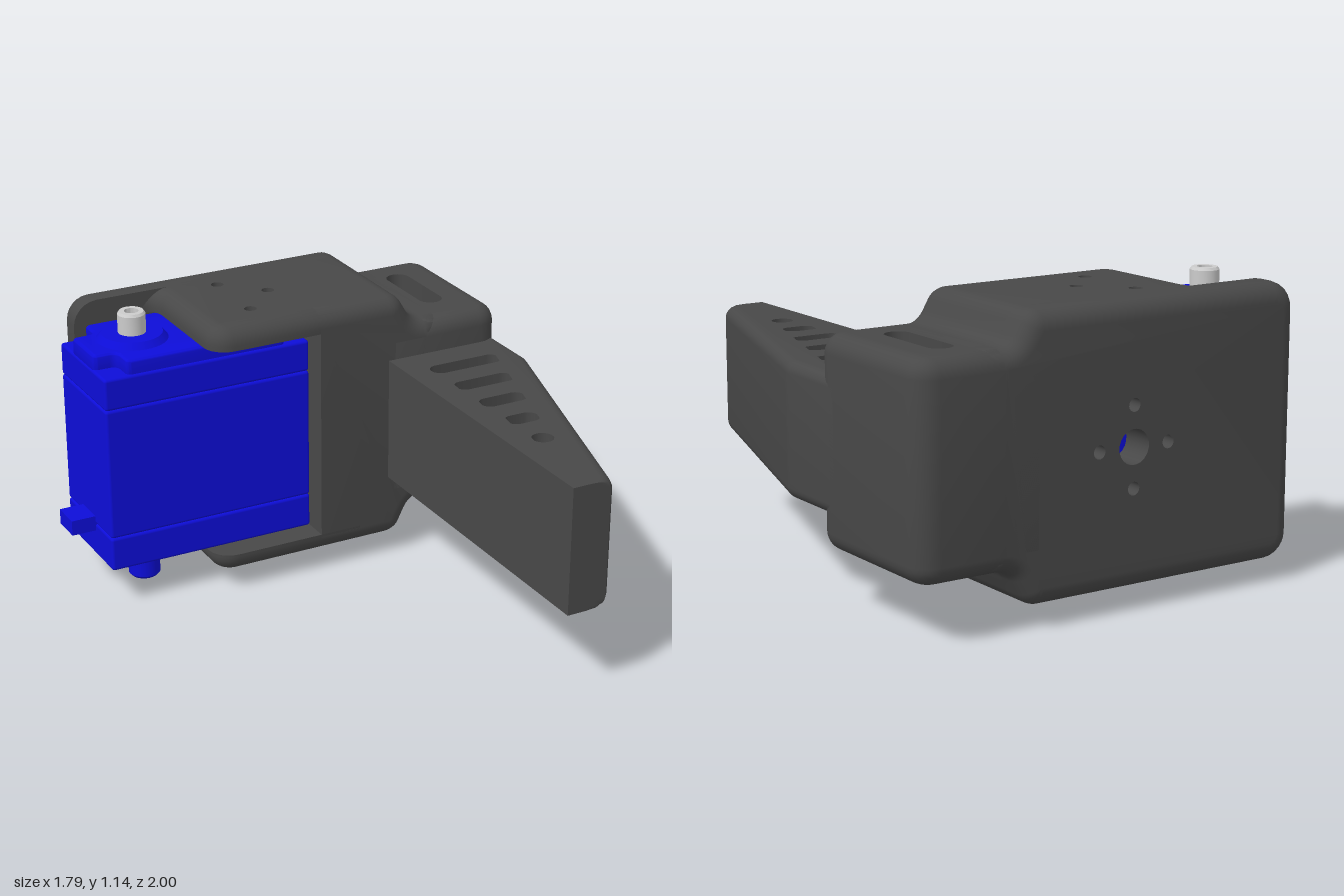
import * as THREE from 'three';
import { toCreasedNormals } from 'three/addons/utils/BufferGeometryUtils.js';
import { RoundedBoxGeometry } from 'three/addons/geometries/RoundedBoxGeometry.js';

const dark = new THREE.MeshStandardMaterial({ color: 0x484848 });
const blue = new THREE.MeshStandardMaterial({ color: 0x0d0dd8 });
const metal = new THREE.MeshStandardMaterial({ color: 0xcccccc, side: THREE.DoubleSide });
const V = (x, y) => new THREE.Vector2(x, y);

// Polygon with rounded corners [x, y, radius], counter-clockwise, moved inwards by inset
function outline(corners, inset) {
  const n = corners.length, pts = [];
  const P = corners.map(c => V(c[0], c[1]));
  const dir = P.map((p, i) => P[(i + 1) % n].clone().sub(p).normalize());
  const normal = dir.map(d => V(-d.y, d.x));
  for (let i = 0; i < n; i++) {
    const h = (i + n - 1) % n, n0 = normal[h], n1 = normal[i];
    const turn = Math.atan2(dir[h].cross(dir[i]), dir[h].dot(dir[i]));
    const s = Math.sign(turn);
    const r = Math.max(0.001, (corners[i][2] ?? 0.005) - s * inset);
    const corner = P[i].clone().addScaledVector(n0.clone().add(n1), inset / (1 + n0.dot(n1)));
    const centre = corner.addScaledVector(dir[h], -r * Math.tan(Math.abs(turn) / 2)).addScaledVector(n0, s * r);
    for (let k = 0; k <= 6; k++) {
      pts.push(n0.clone().multiplyScalar(-s * r).rotateAround(V(0, 0), turn * k / 6).add(centre));
    }
  }
  return pts;
}

// Slot hole between two end centres (a round hole when both agree)
function slot([x0, y0, x1, y1, r]) {
  const a = Math.atan2(y1 - y0, x1 - x0), pts = [];
  for (let k = 0; k < 20; k++) {
    const t = a - Math.PI / 2 + (k + 0.5) * Math.PI / 10;
    pts.push(V((k < 10 ? x1 : x0) + r * Math.cos(t), (k < 10 ? y1 : y0) + r * Math.sin(t)));
  }
  return new THREE.Path(pts);
}

// Solid with filleted rims and straight holes, from `lo` to `hi` along z,
// or along y when `plan` is set (corners and holes are then given in x, z).
// min and max trim it to flat faces.
function solid(name, mat, { corners, holes = [], lo, hi, fillet, plan, min = [-9, -9, -9], max = [9, 9, 9] }) {
  if (plan) {
    corners = corners.map(([x, z, r]) => [x, -z, r]);
    holes = holes.map(([a, b, c, d, r]) => [a, -b, c, -d, r]);
  }
  if (THREE.ShapeUtils.isClockWise(corners.map(c => V(c[0], c[1])))) corners = corners.reverse();
  const outer = outline(corners, 0), inner = outline(corners, fillet);
  const shape = new THREE.Shape(outer);
  shape.holes = holes.map(slot);
  const N = 6, steps = 2 * N + 1;
  const g = new THREE.ExtrudeGeometry(shape, { depth: steps, steps, bevelEnabled: false });
  if (plan) g.rotateX(0);
  const pos = g.attributes.position, v = new THREE.Vector3();
  const box = new THREE.Box3(new THREE.Vector3(...min), new THREE.Vector3(...max));
  for (let i = 0; i < pos.count; i++) {
    v.fromBufferAttribute(pos, i);
    const layer = Math.round(v.z), fromEnd = Math.min(layer, steps - layer);
    const t = fromEnd / N * Math.PI / 2;
    const rise = fillet * (1 - Math.cos(t)), k = 1 - Math.sin(t);
    // quarter-round: the rim starts fully inset and swells to the outline
    const id = outer.findIndex(p => Math.abs(p.x - v.x) < 1e-5 && Math.abs(p.y - v.y) < 1e-5);
    if (id >= 0) {
      v.x = THREE.MathUtils.lerp(outer[id].x, inner[id].x, k);
      v.y = THREE.MathUtils.lerp(outer[id].y, inner[id].y, k);
    }
    v.z = layer <= N ? lo + rise : hi - rise;
    if (plan) v.set(v.x, v.z, -v.y);
    box.clampPoint(v, v);
    pos.setXYZ(i, v.x, v.y, v.z);
  }
  const mesh = new THREE.Mesh(toCreasedNormals(g, 0.6), mat);
  mesh.name = name;
  return mesh;
}

function add(group, name, geometry, mat, x = 0, y = 0, z = 0) {
  const m = new THREE.Mesh(geometry, mat);
  m.name = name;
  m.position.set(x, y, z);
  group.add(m);
}

function createBracket() {
  const g = new THREE.Group();
  g.name = 'bracket';
  const stepped = (x, r) => [
    [x, 0.08, r], [0.43, 0.08, 0.08], [0.5, 0.22, 0.08], [0.61, 0.22],
    [0.61, 1.0], [0.5, 1.0, 0.08], [0.43, 1.12, 0.08], [x, 1.12, r]];

  // back plate with a central hole and four screw holes
  const ring = [[0.15, 0], [-0.15, 0], [0, 0.15], [0, -0.15]].map(([x, y]) => [x, 0.6 + y, x, 0.6 + y, 0.025]);
  g.add(solid('backPlate', dark, {
    corners: stepped(-0.74, 0.1), holes: [[0, 0.6, 0, 0.6, 0.065], ...ring],
    lo: -1, hi: -0.7, fillet: 0.07, max: [9, 9, -0.87],
  }));
  // solid column beside the motor bay
  g.add(solid('column', dark, {
    corners: stepped(-0.05), lo: -1.1, hi: -0.33, fillet: 0.07, min: [0.07, 0, -0.88],
  }));
  // plates above and below the motor bay
  const bayPlate = {
    corners: [[-0.39, -0.33, 0.09], [0.25, -0.33], [0.25, -1.03], [-0.6, -1.03], [-0.6, -0.87], [-0.39, -0.87, 0.06]],
    holes: [[-0.15, -0.8], [0, -0.65], [-0.15, -0.5]].map(([x, z]) => [x, z, x, z, 0.025]),
    plan: true, fillet: 0.07,
  };
  g.add(solid('topPlate', dark, { ...bayPlate, lo: 0.85, hi: 1.12, min: [-0.55, 1.03, -0.92] }));
  g.add(solid('bottomPlate', dark, { ...bayPlate, lo: 0.08, hi: 0.35, min: [-0.55, 0, -0.92], max: [9, 0.16, 9] }));
  // side block with a strap slot
  g.add(solid('sideBlock', dark, {
    corners: [[0.4, -1], [0.89, -1, 0.09], [0.89, -0.33, 0.09], [0.4, -0.33]],
    holes: [[0.68, -0.8, 0.68, -0.54, 0.05]], plan: true, lo: 0.22, hi: 1.0, fillet: 0.07,
  }));
  // tapered arm with a row of shrinking slots
  const ends = [0.785, 0.73, 0.67, 0.61, 0.555];
  g.add(solid('arm', dark, {
    corners: [[0.3, -0.45], [0.89, -0.45], [0.89, -0.12, 0.1], [0.534, 1.05, 0.13], [0.3, 1.05]],
    holes: ends.map((x, i) => [0.512, -0.16 + 0.186 * i, x - 0.042, -0.16 + 0.186 * i, 0.042]),
    plan: true, lo: 0.35, hi: 0.86, fillet: 0.045, min: [0.375, 0, -0.45], max: [9, 9, 1],
  }));
  return g;
}

function createMotor() {
  const g = new THREE.Group();
  g.name = 'motor';
  // casing in stacked sections, leaving fine seams
  for (const [name, y0, y1] of [['lowerCase', 0.16, 0.3], ['middleCase', 0.3, 0.84], ['upperCase', 0.84, 0.97]]) {
    add(g, name, new RoundedBoxGeometry(0.87, y1 - y0, 0.44, 3, 0.012), blue, -0.365, (y0 + y1) / 2, -0.65);
  }
  // lid with cut-out corners
  const q = [[0.43, 0.11], [0.335, 0.11], [0.335, 0.21]];
  const quarter = (sx, sz) => q.map(([x, z], i) => [-0.365 + sx * x, -0.65 + sz * z, i === 1 ? 0.03 : 0.02]);
  g.add(solid('lid', blue, {
    corners: [...quarter(1, 1), ...quarter(-1, 1).reverse(), ...quarter(-1, -1), ...quarter(1, -1).reverse()],
    plan: true, lo: 0.94, hi: 1.03, fillet: 0.015,
  }));
  // bosses, output shaft, rear pivot and cable plug
  add(g, 'topBoss', new THREE.CylinderGeometry(0.12, 0.145, 0.03, 40), blue, -0.587, 1.04, -0.65);
  add(g, 'bottomBoss', new THREE.CylinderGeometry(0.15, 0.12, 0.035, 40), blue, -0.58, 0.145, -0.65);
  const lathe = p => toCreasedNormals(new THREE.LatheGeometry(p.map(a => V(...a)), 32).toNonIndexed(), 0.6);
  add(g, 'outputShaft', lathe([[0.055, 1.03], [0.055, 1.13], [0.048, 1.14], [0.028, 1.14], [0.028, 1.08], [0, 1.08]]),
    metal, -0.587, 0, -0.65);
  add(g, 'rearPivot', lathe([[0, 0], [0.053, 0], [0.064, 0.012], [0.064, 0.15]]), blue, -0.575, 0, -0.65);
  add(g, 'cablePlug', new THREE.BoxGeometry(0.14, 0.062, 0.125), blue, -0.83, 0.302, -0.652);
  return g;
}

export function createModel() {
  const model = new THREE.Group();
  model.name = 'motorBracketAssembly';
  model.add(createBracket(), createMotor());
  return model;
}
